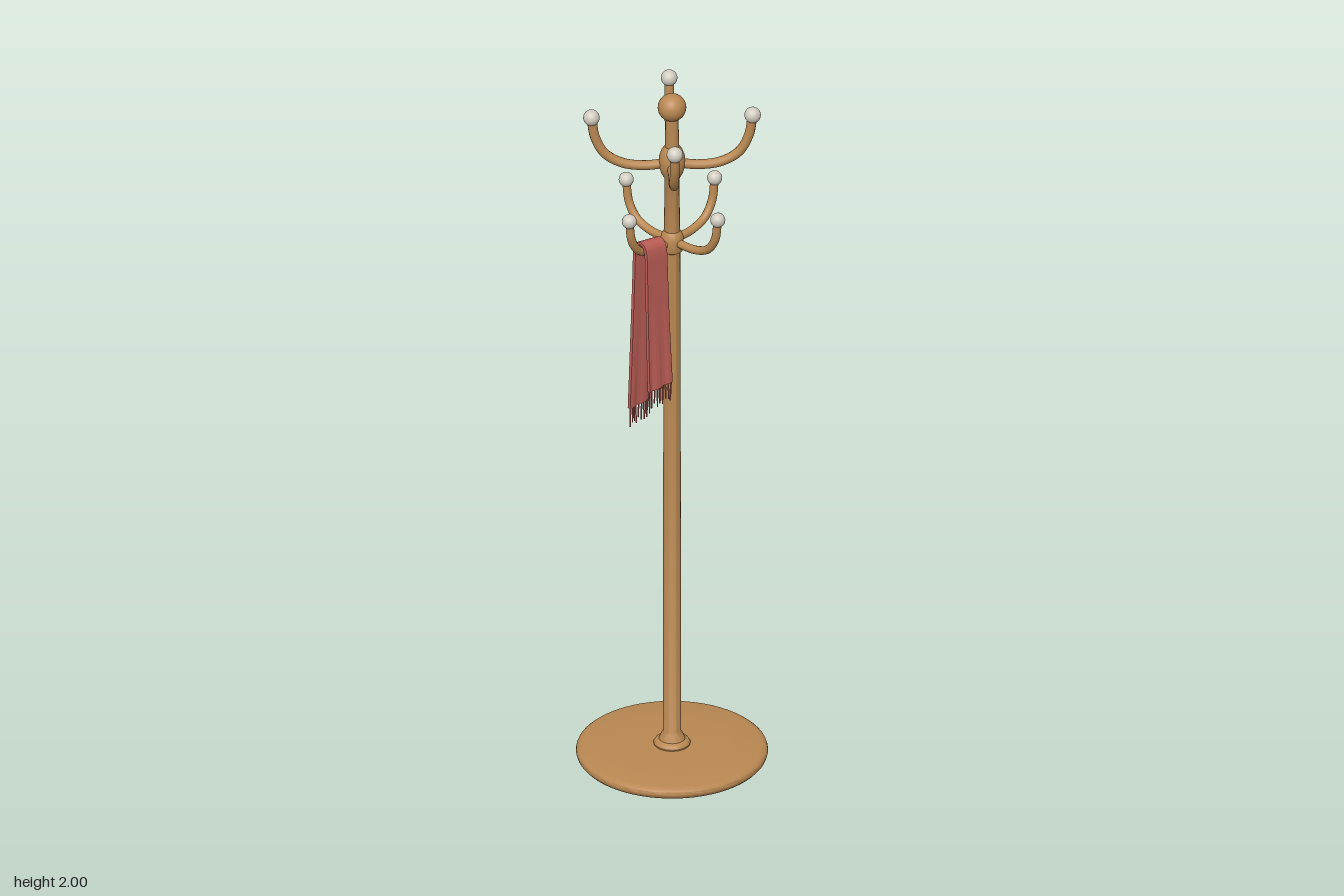
import * as THREE from 'three';
import { toCreasedNormals } from 'three/addons/utils/BufferGeometryUtils.js';

const mat = (name, color) => Object.assign(new THREE.MeshStandardMaterial({ color }), { name });

export function createModel() {
  const wood = mat('wood', 0xb98852);
  const ivory = mat('ivory', 0xd2ccc0);
  const cloth = mat('red cloth', 0xc4625a);
  const root = new THREE.Group();
  root.name = 'coatStand';

  const add = (parent, name, geometry, material, x = 0, y = 0, z = 0) => {
    const mesh = new THREE.Mesh(geometry, material);
    mesh.name = name;
    mesh.position.set(x, y, z);
    parent.add(mesh);
    return mesh;
  };
  const lathe = (points, sides) => toCreasedNormals(
    new THREE.LatheGeometry(points.map(p => new THREE.Vector2(...p)), sides), 0.6);

  // Round base with a soft rim
  add(root, 'base', lathe([[0, 0.005], [0.238, 0.005], [0.247, 0.008], [0.253, 0.015], [0.255, 0.022],
    [0.253, 0.029], [0.247, 0.034], [0.235, 0.037], [0.15, 0.041], [0, 0.043]], 64), wood);
  add(root, 'foot', lathe([[0.225, 0], [0.23, 0.006]], 64), wood);
  add(root, 'footBottom', new THREE.CircleGeometry(0.225, 64).rotateX(Math.PI / 2), wood);

  // Turned pole: collar, tapering shaft, two hubs and the neck
  add(root, 'pole', lathe([[0.048, 0.038], [0.049, 0.046], [0.045, 0.053], [0.035, 0.058], [0.03, 0.07],
    [0.024, 0.08], [0.023, 1.17], [0.022, 1.528], [0.028, 1.532], [0.031, 1.545], [0.031, 1.57],
    [0.027, 1.584], [0.021, 1.592], [0.02, 1.75], [0.028, 1.764], [0.035, 1.785], [0.035, 1.813],
    [0.028, 1.834], [0.019, 1.846], [0.017, 1.935]], 32), wood);
  add(root, 'finial', new THREE.SphereGeometry(0.038, 32, 20), wood, 0, 1.962, 0);

  // Curved arms with ball tips, in rings of four
  const ring = (name, path, radius, ball, turn) => {
    const curve = new THREE.CatmullRomCurve3(path.map(([r, y]) => new THREE.Vector3(r, y, 0)));
    const tube = new THREE.TubeGeometry(curve, 32, radius, 12);
    const [tipR, tipY] = path[path.length - 1];
    for (let i = 0; i < 4; i++) {
      const arm = new THREE.Group();
      arm.name = name + (i + 1);
      arm.rotation.y = turn + i * Math.PI / 2;
      add(arm, 'arm', tube, wood);
      add(arm, 'knob', new THREE.SphereGeometry(ball, 24, 16), ivory, tipR, tipY, 0);
      root.add(arm);
    }
  };
  ring('upperHook', [[0.015, 1.795], [0.07, 1.789], [0.13, 1.797], [0.178, 1.826], [0.204, 1.875],
    [0.214, 1.935]], 0.013, 0.022, 0);
  ring('lowerHook', [[0.015, 1.56], [0.08, 1.562], [0.128, 1.58], [0.156, 1.62], [0.166, 1.683]],
    0.0115, 0.02, Math.PI / 4);

  // Scarf folded over the front right lower arm; local x runs along that arm
  const scarf = new THREE.Group();
  scarf.name = 'scarf';
  scarf.rotation.y = -3 * Math.PI / 4;
  root.add(scarf);
  const fold = new THREE.CatmullRomCurve3([[1.09, 0.037], [1.3, 0.03], [1.5, 0.023], [1.565, 0.02],
    [1.586, 0.013], [1.593, 0], [1.586, -0.013], [1.565, -0.02], [1.5, -0.023], [1.35, -0.028],
    [1.165, -0.036]].map(([y, z]) => new THREE.Vector3(0, y, z)), false, 'centripetal');
  fold.arcLengthDivisions = 600;
  const along = new THREE.Vector3(1, 0, 0);

  // Point on the cloth: s across (-0.5 to 0.5), t along, d away from the middle layer
  const onCloth = (s, t, d) => {
    const p = fold.getPointAt(t);
    const normal = along.clone().cross(fold.getTangentAt(t));
    const top = Math.sin(Math.PI * t);
    const ripple = 0.0025 * Math.sin(s * 12) * (1 - top);
    p.addScaledVector(normal, d + ripple);
    p.x = 0.085 + s * (0.087 - 0.009 * top);
    p.y += s * 0.014 * top;
    return p;
  };
  const ribbon = new THREE.BoxGeometry(1, 1, 0.009, 12, 100, 1);
  const pos = ribbon.attributes.position;
  for (let i = 0; i < pos.count; i++) {
    const p = onCloth(pos.getX(i), THREE.MathUtils.clamp(pos.getY(i) + 0.5, 0, 1), pos.getZ(i));
    pos.setXYZ(i, p.x, p.y, p.z);
  }
  add(scarf, 'scarfCloth', toCreasedNormals(ribbon, 0.9), cloth);

  // Fringe at both ends
  for (const t of [0, 1]) {
    for (let i = 0; i < 10; i++) {
      const p = onCloth((i + 0.5) / 10 - 0.5, t, 0);
      const length = 0.052 + 0.008 * Math.sin(i * 2.3 + t);
      const strand = add(scarf, 'fringe', new THREE.CylinderGeometry(0.0024, 0.0018, length, 6), cloth,
        p.x, p.y - length / 2 + 0.003, p.z);
      strand.rotation.z = 0.06 * Math.sin(i * 1.7 + t * 2);
    }
  }
  return root;
}
